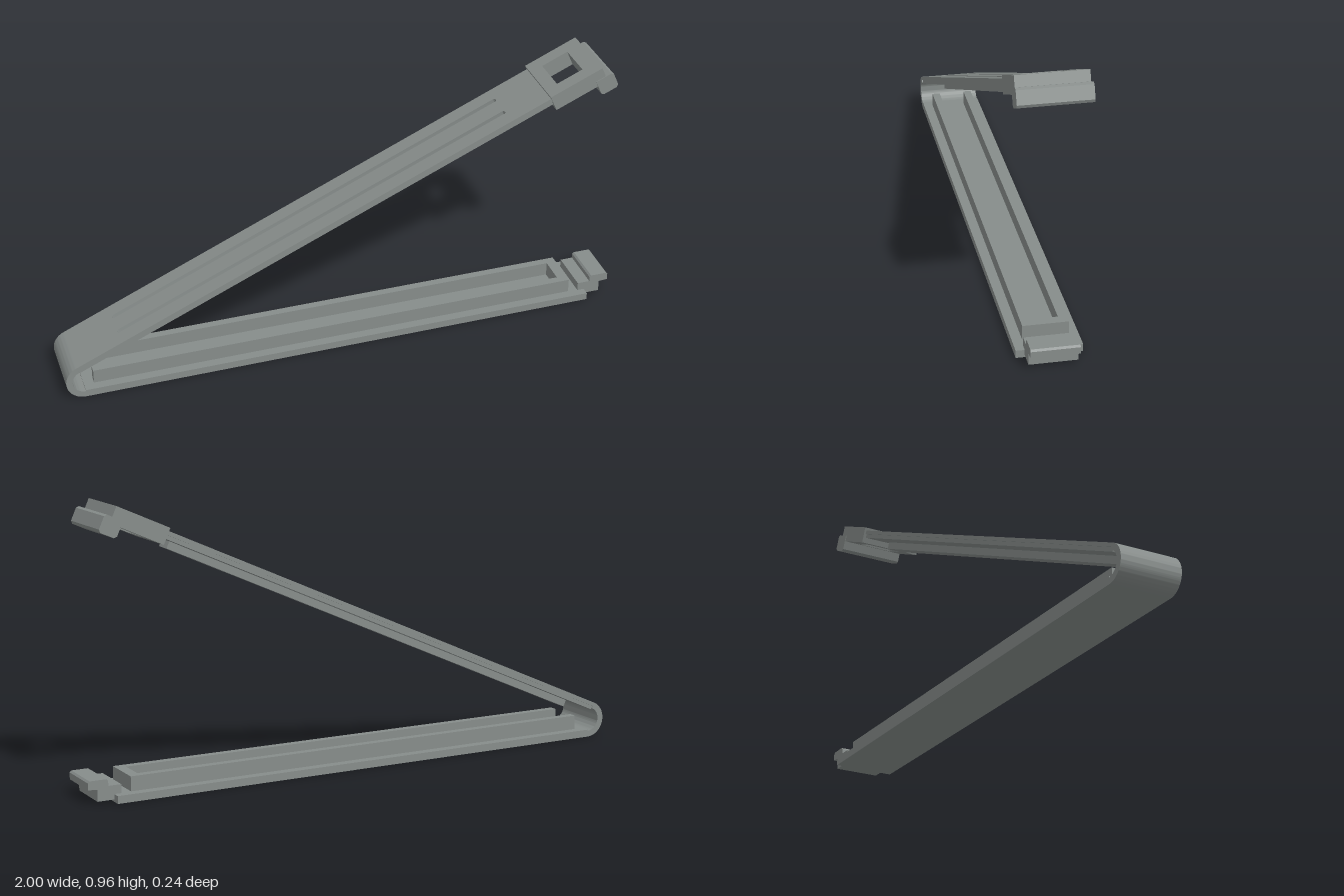
import * as THREE from 'three';
import { toCreasedNormals } from 'three/addons/utils/BufferGeometryUtils.js';

export function createModel() {
  const root = new THREE.Group();
  const grey = new THREE.MeshStandardMaterial({ color: 0x868c8a });
  grey.name = 'greyPlastic';

  const add = (parent, name, geo) => {
    const mesh = new THREE.Mesh(geo, grey);
    mesh.name = name;
    parent.add(mesh);
    return mesh;
  };
  // box given by its limits along x and y and its half width in z
  const slab = (x0, x1, y0, y1, halfZ, z = 0) =>
    new THREE.BoxGeometry(x1 - x0, y1 - y0, halfZ * 2)
      .translate((x0 + x1) / 2, (y0 + y1) / 2, z);
  const rect = (x0, x1, h) => [[x0, -h], [x1, -h], [x1, h], [x0, h]].map(p => new THREE.Vector2(...p));
  // side profile extruded across the width
  const across = (shape, halfZ) => toCreasedNormals(
    new THREE.ExtrudeGeometry(shape, { depth: halfZ * 2, bevelEnabled: false, curveSegments: 32 })
      .translate(0, 0, -halfZ), 0.5);
  // plan outline extruded upward between y0 and y1
  const plate = (shape, y0, y1) => toCreasedNormals(
    new THREE.ExtrudeGeometry(shape, { depth: y1 - y0, bevelEnabled: false, curveSegments: 8 })
      .rotateX(-Math.PI / 2).translate(0, y0, 0), 0.6);

  const tilt = THREE.MathUtils.degToRad(24);
  const W = 0.108, R = 0.065, cx = -0.935;

  // curved spring hinge
  const bend = new THREE.Shape();
  bend.absarc(0, 0, R, Math.PI / 2 + tilt, Math.PI * 1.5, false);
  bend.absarc(0, 0, R - 0.022, Math.PI * 1.5, Math.PI / 2 + tilt, true);
  bend.closePath();
  add(root, 'hinge', across(bend, W)).position.set(cx, R, 0);

  // lower arm with U-shaped channel, open toward the hinge
  const lower = new THREE.Group();
  lower.name = 'lowerArm';
  root.add(lower);
  add(lower, 'lowerPlate', slab(cx, 0.91, 0, 0.026, W));
  const channel = new THREE.Shape([
    [-0.9, -0.075], [0.85, -0.075], [0.85, 0.075], [-0.9, 0.075],
    [-0.9, 0.047], [0.815, 0.047], [0.815, -0.047], [-0.9, -0.047],
  ].map(p => new THREE.Vector2(...p)));
  add(lower, 'channelWalls', plate(channel, 0.024, 0.076));

  // stepped catch at the end of the lower arm
  const catchProfile = new THREE.Shape([
    [0.9, 0.008], [0.968, 0.008], [0.968, 0.048], [1.0, 0.05], [1.0, 0.073],
    [0.994, 0.079], [0.936, 0.079], [0.93, 0.073], [0.93, 0.056], [0.885, 0.056],
    [0.885, 0.025], [0.9, 0.025],
  ].map(p => new THREE.Vector2(...p)));
  add(lower, 'catch', across(catchProfile, 0.079));

  // upper arm, tilted about the hinge centre
  const upper = new THREE.Group();
  upper.name = 'upperArm';
  upper.position.set(cx, R, 0);
  upper.rotation.z = tilt;
  root.add(upper);
  add(upper, 'upperInnerPlate', slab(0, 1.85, 0.038, 0.052, W - 0.004));
  const top = new THREE.Shape(rect(0, 1.85, W));
  for (const z of [-0.043, 0.043]) {
    const slot = new THREE.Path();
    slot.absarc(0.186, z, 0.01, Math.PI / 2, Math.PI * 1.5, false);
    slot.absarc(1.677, z, 0.01, -Math.PI / 2, Math.PI / 2, false);
    slot.closePath();
    top.holes.push(slot);
  }
  add(upper, 'groovedOuterPlate', plate(top, 0.052, R));
  add(upper, 'sealingRib', slab(0.065, 1.785, 0.013, 0.04, 0.03));

  // latch head with a square window, and its hook
  const head = new THREE.Shape(rect(1.838, 2.038, 0.115));
  head.holes.push(new THREE.Path(rect(1.884, 1.983, 0.065)));
  add(upper, 'latchHead', plate(head, 0.018, 0.076));
  const hook = new THREE.Shape([
    [2.008, -0.021], [2.058, -0.021], [2.066, -0.013], [2.066, 0.032],
    [2.058, 0.04], [2.0, 0.04], [2.0, -0.013],
  ].map(p => new THREE.Vector2(...p)));
  add(upper, 'latchHook', across(hook, 0.118));

  return root;
}
